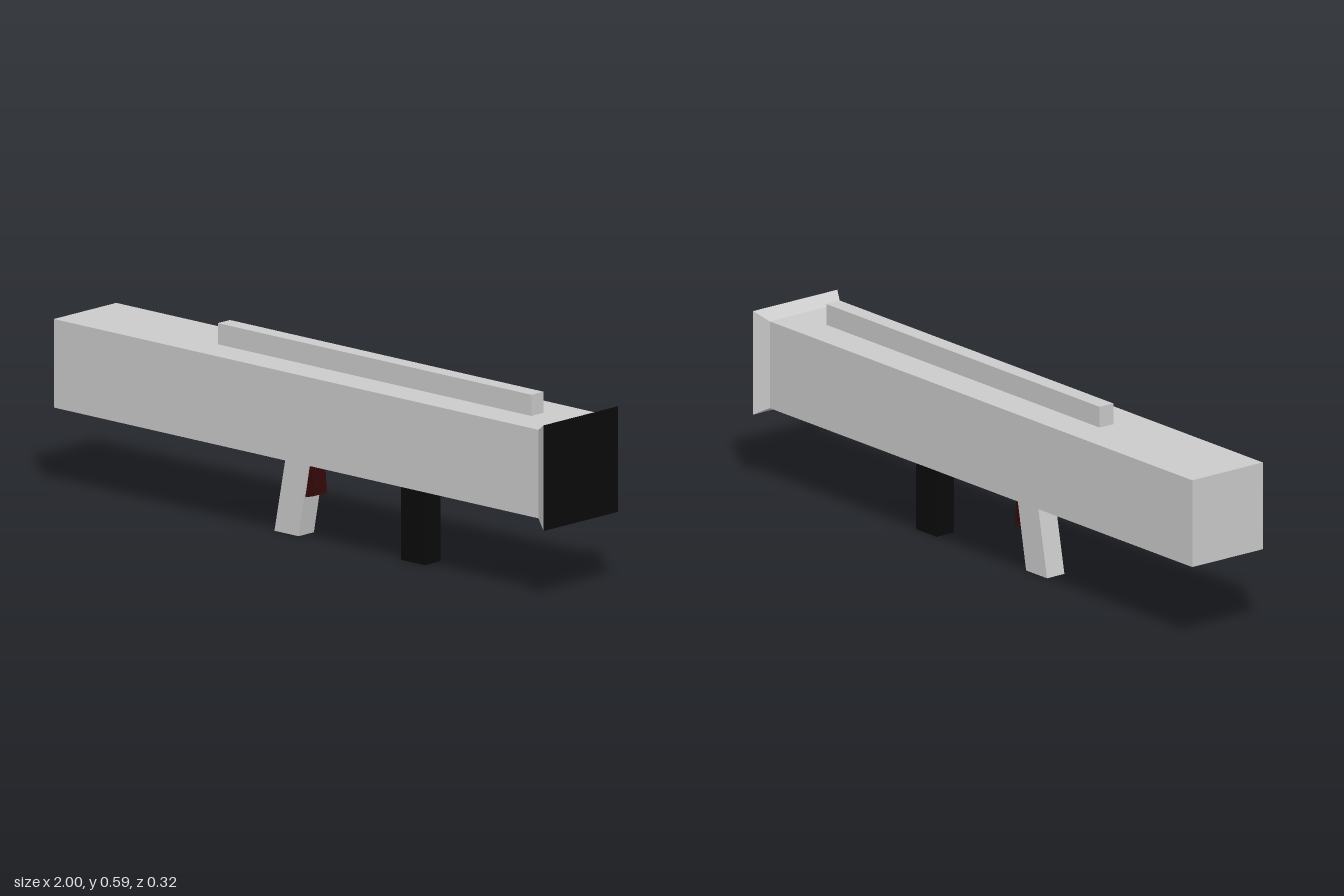
import * as THREE from 'three';

const paint = (color) => new THREE.MeshStandardMaterial({ color, flatShading: true });

export function createModel() {
  const group = new THREE.Group();
  const grey = paint(0xcccccc), black = paint(0x0a0a0a), red = paint(0x360808);
  const bottom = 0.255, top = 0.523, midY = (bottom + top) / 2;
  const half = (top - bottom) / 2, flareHalf = 0.16, flareX = 0.955;

  function add(name, geometry, material) {
    const mesh = new THREE.Mesh(geometry, material);
    mesh.name = name;
    group.add(mesh);
    return mesh;
  }

  // Box given by its extents in x and y, centred on z
  function box(name, x0, x1, y0, y1, width, material) {
    add(name, new THREE.BoxGeometry(x1 - x0, y1 - y0, width), material)
      .position.set((x0 + x1) / 2, (y0 + y1) / 2, 0);
  }

  // Side outline extruded across z
  function slab(name, points, width, material) {
    const shape = new THREE.Shape(points.map(([x, y]) => new THREE.Vector2(x, y)));
    const geometry = new THREE.ExtrudeGeometry(shape, { depth: width, bevelEnabled: false });
    geometry.translate(0, 0, -width / 2);
    add(name, geometry, material);
  }

  // Square tube and top rail
  box('barrelBody', -1, flareX, bottom, top, half * 2, grey);
  box('topRail', -0.44, 0.825, top, 0.587, 0.052, grey);

  // Flared square muzzle, closed by a dark face
  const flare = new THREE.CylinderGeometry(
    flareHalf * Math.SQRT2, half * Math.SQRT2, 1 - flareX, 4, 1, true);
  flare.rotateY(Math.PI / 4).rotateZ(-Math.PI / 2);
  const flareMaterial = paint(0xcccccc);
  flareMaterial.side = THREE.DoubleSide;
  add('muzzleFlare', flare, flareMaterial).position.set((1 + flareX) / 2, midY, 0);
  const face = new THREE.PlaneGeometry(flareHalf * 2, flareHalf * 2).rotateY(Math.PI / 2);
  add('muzzleOpening', face, black).position.set(1, midY, 0);

  // Grips and trigger
  box('frontGrip', 0.305, 0.402, 0, bottom, 0.066, black);
  slab('rearGrip', [[-0.205, 0], [-0.108, 0], [-0.06, bottom], [-0.155, bottom]], 0.066, grey);
  slab('trigger', [[-0.088, 0.12], [-0.051, 0.13], [-0.06, bottom], [-0.1, bottom]], 0.056, red);

  return group;
}
